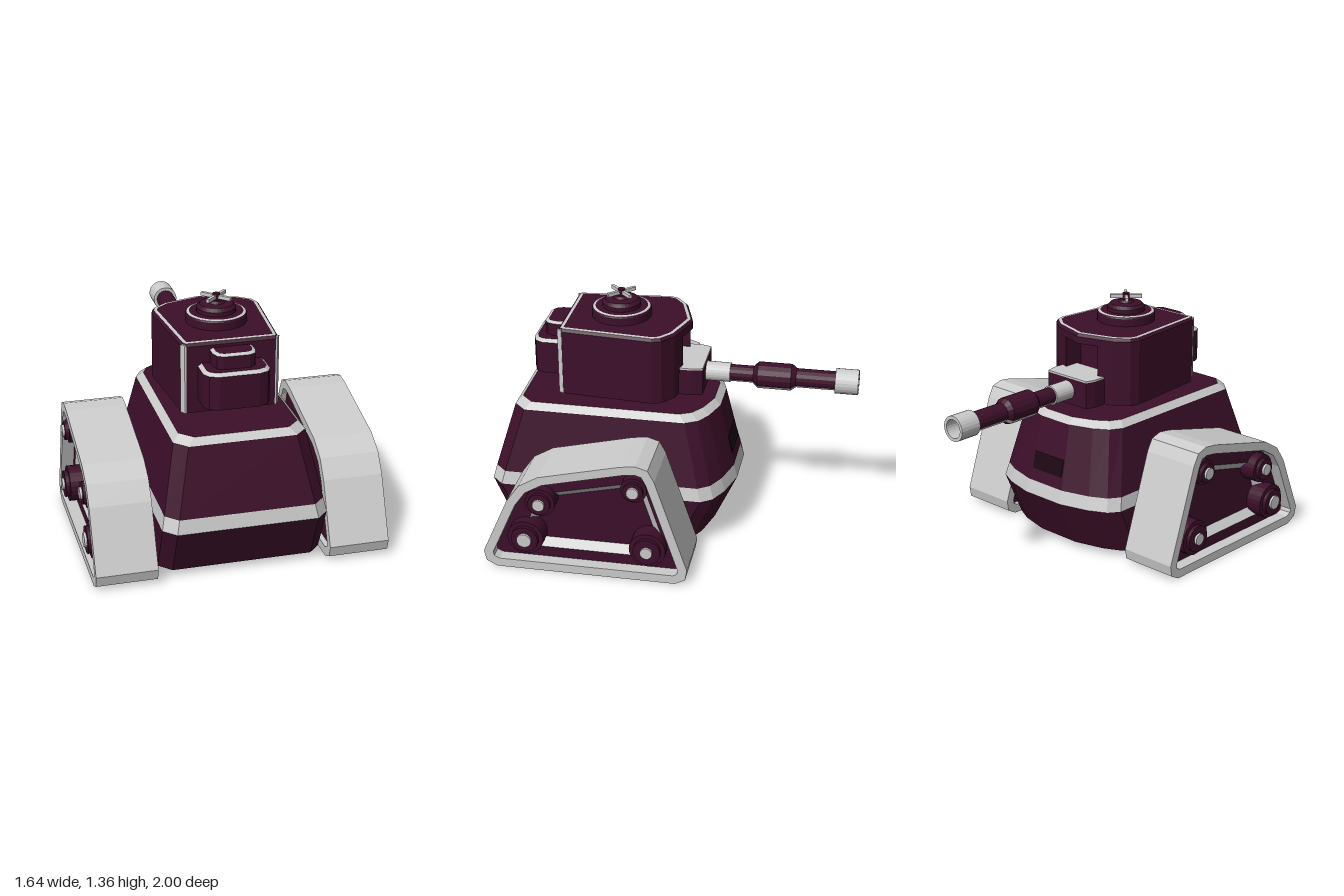
import * as THREE from 'three';

const DARK = new THREE.MeshStandardMaterial({ color: 0x3d0f2a, flatShading: true, side: THREE.DoubleSide });
const LIGHT = new THREE.MeshStandardMaterial({ color: 0xcccccc, flatShading: true, side: THREE.DoubleSide });
const SLOT = new THREE.MeshStandardMaterial({ color: 0x1c0612 });

function add(parent, name, geometry, material) {
  const mesh = new THREE.Mesh(geometry, material);
  mesh.name = name;
  parent.add(mesh);
  return mesh;
}

// Mirrors the +x half of a plan (rear to front) into a closed outline.
const mirrored = (half) => half.concat(half.filter((p) => p[0] !== 0).map(([x, z]) => [-x, z]).reverse());

// Moves every edge of a convex outline inwards by d.
function inset(pts, d) {
  const n = pts.length;
  let area = 0;
  pts.forEach((p, i) => { const q = pts[(i + 1) % n]; area += p[0] * q[1] - q[0] * p[1]; });
  const s = Math.sign(area);
  const normal = (a, b) => {
    const l = Math.hypot(b[0] - a[0], b[1] - a[1]);
    return [-s * (b[1] - a[1]) / l, s * (b[0] - a[0]) / l];
  };
  return pts.map((p, i) => {
    const u = normal(pts[(i + n - 1) % n], p), v = normal(p, pts[(i + 1) % n]);
    const k = d / (1 + u[0] * v[0] + u[1] * v[1]);
    return [p[0] + (u[0] + v[0]) * k, p[1] + (u[1] + v[1]) * k];
  });
}

// Flat-faced skin through rings of 3D points, with optional caps.
function loft(rings, capStart = false, capEnd = false) {
  const pos = [], n = rings[0].length;
  const tri = (a, b, c) => pos.push(...a, ...b, ...c);
  for (let r = 0; r + 1 < rings.length; r++) {
    for (let i = 0; i < n; i++) {
      const j = (i + 1) % n, a = rings[r], b = rings[r + 1];
      tri(a[i], a[j], b[j]);
      tri(a[i], b[j], b[i]);
    }
  }
  const first = rings[0], last = rings[rings.length - 1];
  for (let i = 1; i + 1 < n; i++) {
    if (capStart) tri(first[0], first[i + 1], first[i]);
    if (capEnd) tri(last[0], last[i], last[i + 1]);
  }
  const g = new THREE.BufferGeometry();
  g.setAttribute('position', new THREE.Float32BufferAttribute(pos, 3));
  g.computeVertexNormals();
  return g;
}
const level = (plan, y) => plan.map(([x, z]) => [x, y, z]);

// Upright block with a light bevel round its dark top.
function trimmedBlock(parent, name, plan, y0, y1, bevel, drop) {
  const top = inset(plan, bevel);
  add(parent, name, loft([level(plan, y0), level(plan, y1 - drop)], true), DARK);
  add(parent, name + 'Trim', loft([level(plan, y1 - drop), level(top, y1)]), LIGHT);
  add(parent, name + 'Top', loft([level(top, y1)], false, true), DARK);
}

// Vertical extrusion of an [x, z] outline.
function slab(plan, y0, y1) {
  const shape = new THREE.Shape(plan.map(([x, z]) => new THREE.Vector2(x, -z)));
  return new THREE.ExtrudeGeometry(shape, { depth: y1 - y0, bevelEnabled: false }).rotateX(-Math.PI / 2).translate(0, y0, 0);
}

// Sideways extrusion of a [z, y] outline, on the side given by s.
function sideSlab(outline, hole, s, x0, x1) {
  const v = (pts) => pts.map(([z, y]) => new THREE.Vector2(-z, y));
  const shape = new THREE.Shape(v(outline));
  if (hole) shape.holes.push(new THREE.Path(v(hole)));
  return new THREE.ExtrudeGeometry(shape, { depth: x1 - x0, bevelEnabled: false })
    .rotateY(Math.PI / 2).translate(s > 0 ? x0 : -x1, 0, 0);
}

function buildHull() {
  const g = new THREE.Group();
  g.name = 'hull';
  const plan = (w, zr, zf) => mirrored([
    [w - 0.065, zr], [w, zr - 0.065], [w, zf + 0.16], [w * 0.9, zf + 0.095], [w * 0.68, zf + 0.045], [w * 0.3, zf]]);
  const bottom = level(plan(0.445, 0.88, -0.23), 0.04);
  const waist = level(plan(0.445, 1, -0.355), 0.31);
  const band = level(plan(0.43, 0.98, -0.335), 0.385);
  add(g, 'lowerHull', loft([bottom, waist], true), DARK);
  add(g, 'waistBand', loft([waist, band]), LIGHT);
  const shoulder = plan(0.355, 0.875, -0.25), deck = plan(0.32, 0.84, -0.215);
  add(g, 'upperHull', loft([band, level(shoulder, 0.745)]), DARK);
  add(g, 'deckTrim', loft([level(shoulder, 0.745), level(deck, 0.78)]), LIGHT);
  add(g, 'deck', loft([level(deck, 0.78)], false, true), DARK);
  // Vision slot on the sloping plate
  const slot = add(g, 'visionSlot', new THREE.BoxGeometry(0.22, 0.1, 0.01), SLOT);
  slot.position.set(0, 0.5, -0.306);
  slot.rotation.x = 0.232;
  return g;
}

function buildTrack(s) {
  const g = new THREE.Group();
  g.name = s > 0 ? 'leftTrack' : 'rightTrack';
  const outline = [[0.945, 0.09], [0.93, 0.03], [0.87, 0], [-0.12, 0], [-0.175, 0.03], [-0.185, 0.09], [-0.01, 0.62],
    [0.025, 0.685], [0.09, 0.705], [0.17, 0.695], [0.62, 0.585], [0.73, 0.52], [0.8, 0.42]];
  const inner = inset(outline, 0.05);
  add(g, 'trackBelt', sideSlab(outline, inner, s, 0.47, 0.8), LIGHT);
  // Frame plate with a bevelled recess
  const recess = [[0.76, 0.11], [-0.03, 0.11], [-0.05, 0.2], [0.07, 0.575], [0.64, 0.44]];
  const floor = inset(recess, 0.042);
  add(g, 'trackFrame', sideSlab(inner, recess, s, 0.69, 0.73), DARK);
  add(g, 'recessTrim', loft([recess.map(([z, y]) => [s * 0.73, y, z]), floor.map(([z, y]) => [s * 0.69, y, z])]), LIGHT);
  add(g, 'recessFloor', sideSlab(inset(recess, 0.02), null, s, 0.66, 0.69), DARK);
  add(g, 'innerPlate', sideSlab(inner, null, s, 0.5, 0.53), DARK);
  // Wheels: disc, raised boss and light hub
  for (const [z, y, r, hub] of [[0.71, 0.19, 0.1, 0.04], [0.035, 0.185, 0.1, 0.033], [0.105, 0.55, 0.072, 0.033], [0.62, 0.42, 0.082, 0.033]]) {
    for (const [name, radius, x0, x1, mat] of [['wheel', r, 0.69, 0.785, DARK], ['wheelBoss', r * 0.75, 0.7, 0.807, DARK], ['wheelHub', hub, 0.7, 0.82, LIGHT]]) {
      add(g, name, new THREE.CylinderGeometry(radius, radius, x1 - x0, 24).rotateZ(Math.PI / 2), mat)
        .position.set(s * (x0 + x1) / 2, y, z);
    }
  }
  return g;
}

function buildTurret() {
  const g = new THREE.Group();
  g.name = 'turret';
  const side = [[0.245, 0.63], [0.262, 0.605], [0.303, 0.1], [0.285, 0.05], [0.21, -0.01]];
  const full = mirrored([...side, [0.1, -0.045], [0, -0.075]]);
  const notched = mirrored([...side, [0.12, -0.04], [0.12, 0.08]]);
  add(g, 'turretBase', slab(mirrored([...side, [0.1, -0.04]]), 0.82, 0.95), DARK);
  add(g, 'turretWalls', slab(notched, 0.95, 1.15), DARK);
  // Roof overhanging the gun recess, with a light line round its edge
  const rim = inset(full, 0.012), line = inset(full, 0.03);
  add(g, 'roof', loft([level(full, 1.15), level(full, 1.19), level(rim, 1.205)], true), DARK);
  add(g, 'roofLine', loft([level(rim, 1.205), level(line, 1.207)]), LIGHT);
  add(g, 'roofPanel', loft([level(line, 1.207)], false, true), DARK);
  for (const s of [-1, 1]) {
    add(g, 'cornerTrim', slab([[s * 0.24, 0.632], [s * 0.249, 0.632], [s * 0.266, 0.605], [s * 0.25, 0.605]], 0.82, 1.2), LIGHT);
  }
  // Stepped stowage box on the rear
  const rounded = (w, z) => mirrored([[w * 0.6, z], [w * 0.88, z - 0.02], [w, z - 0.06], [w, 0.61]].map(([x, d]) => [x, d]));
  trimmedBlock(g, 'stowageBox', rounded(0.178, 0.8), 0.895, 1.095, 0.02, 0.016);
  trimmedBlock(g, 'stowageLid', rounded(0.115, 0.745), 1.09, 1.175, 0.018, 0.01);
  // Turret ring and neck
  for (const [name, r, y0, y1, mat] of [['turretRing', 0.165, 0.785, 0.803, LIGHT], ['ringCap', 0.15, 0.8, 0.807, DARK], ['turretNeck', 0.08, 0.78, 0.83, DARK]]) {
    add(g, name, new THREE.CylinderGeometry(r, r, y1 - y0, 32), mat).position.set(0, (y0 + y1) / 2, 0.325);
  }
  // Cupola
  const turned = (pts) => new THREE.LatheGeometry(pts.map((p) => new THREE.Vector2(...p)), 32).translate(0, 0, 0.325);
  add(g, 'cupola', turned([[0.165, 1.2], [0.165, 1.25], [0.16, 1.258]]), DARK);
  add(g, 'cupolaTrim', turned([[0.16, 1.258], [0.145, 1.262]]), LIGHT);
  add(g, 'cupolaCap', turned([[0.145, 1.262], [0.107, 1.262], [0.107, 1.285], [0.09, 1.303], [0.045, 1.308], [0.035, 1.322], [0.02, 1.322], [0.02, 1.358], [0, 1.358]]), DARK);
  for (const a of [-1, 1]) {
    const bar = add(g, 'hatchHandle', new THREE.BoxGeometry(0.18, 0.02, 0.018), LIGHT);
    bar.position.set(0, 1.34, 0.325);
    bar.rotation.y = a * Math.PI / 4;
  }
  return g;
}

function buildGun() {
  const g = new THREE.Group();
  g.name = 'gun';
  const mantlet = mirrored([[0.16, 0.05], [0.16, -0.1], [0.145, -0.155]]);
  add(g, 'mantlet', slab(mantlet, 0.82, 0.97), DARK);
  add(g, 'mantletTrim', slab(mantlet, 0.97, 0.98), LIGHT);
  // Tapered tube sections along -z: start, end, radii
  const tube = (z0, z1, r0, r1, sides, start = 0, sweep = Math.PI * 2) => new THREE.CylinderGeometry(r1, r0, z0 - z1, sides, 1, sweep < 6, start, sweep)
    .rotateX(-Math.PI / 2).translate(0, 0.9, (z0 + z1) / 2);
  add(g, 'barrelCollar', tube(-0.14, -0.29, 0.054, 0.054, 24), LIGHT);
  for (const [z0, z1, r0, r1] of [[-0.28, -0.43, 0.046, 0.046], [-0.42, -0.445, 0.05, 0.073], [-0.445, -0.63, 0.073, 0.073], [-0.63, -0.66, 0.073, 0.05], [-0.65, -0.88, 0.052, 0.052]]) {
    add(g, 'barrel', tube(z0, z1, r0, r1, 16), DARK);
    // Light stripes on both upper flanks
    for (const a of [0.75, 1.25]) add(g, 'barrelStripe', tube(z0, z1, r0 + 0.002, r1 + 0.002, 2, Math.PI * a - 0.2, 0.4), LIGHT);
  }
  const ring = [[0.05, 0], [0.07, 0], [0.07, 0.127], [0.052, 0.127], [0.052, 0.01]].map((p) => new THREE.Vector2(...p));
  add(g, 'muzzle', new THREE.LatheGeometry(ring, 24).rotateX(-Math.PI / 2).translate(0, 0.9, -0.873), LIGHT);
  return g;
}

export function createModel() {
  const model = new THREE.Group();
  model.name = 'tank';
  model.add(buildHull(), buildTrack(1), buildTrack(-1), buildTurret(), buildGun());
  return model;
}
